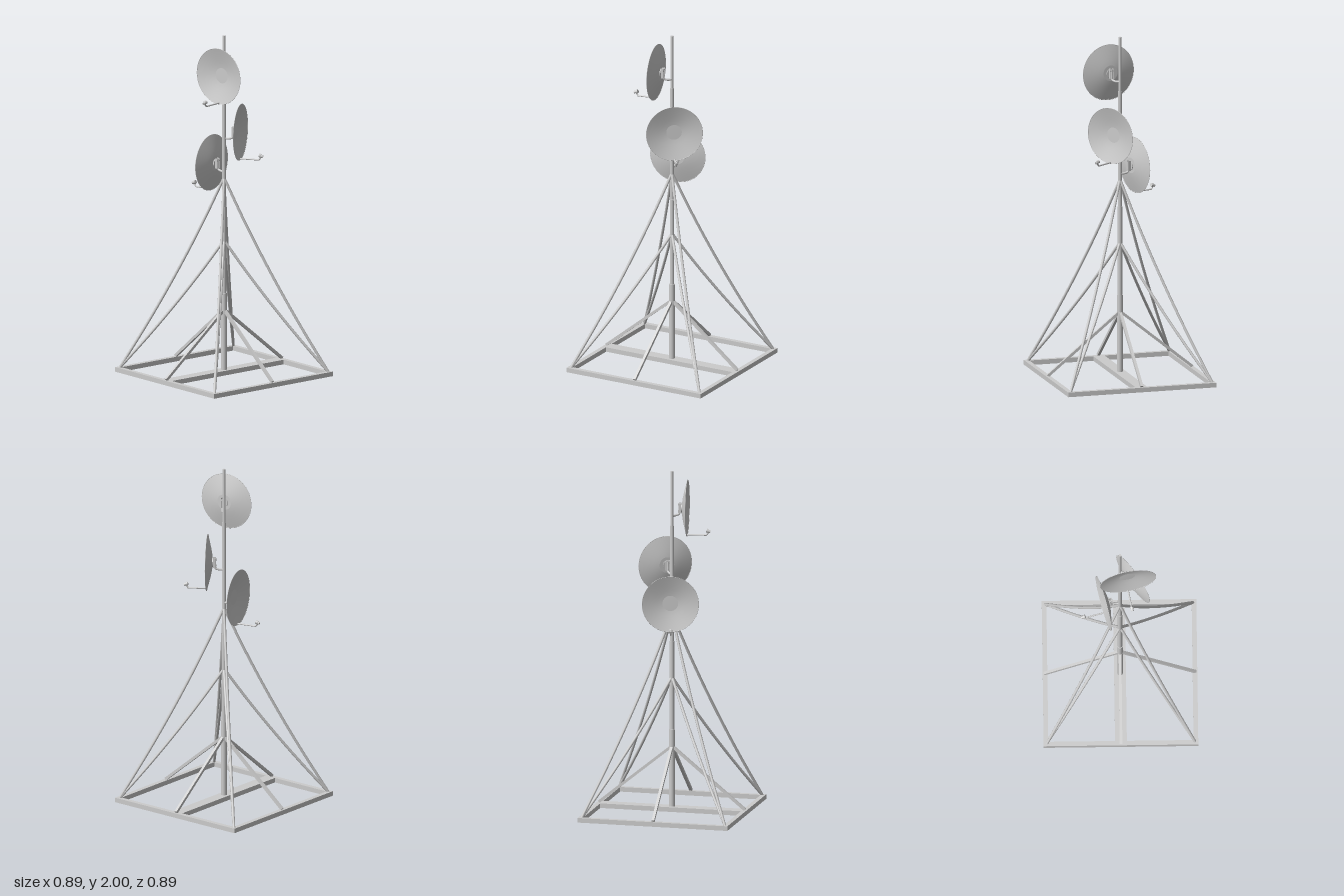
import * as THREE from 'three';

const grey = new THREE.MeshStandardMaterial({ color: 0xcccccc });
const greyThin = new THREE.MeshStandardMaterial({ color: 0xcccccc, side: THREE.DoubleSide });
const V = (x, y, z) => new THREE.Vector3(x, y, z);

function add(parent, name, geometry, material = grey) {
  const mesh = new THREE.Mesh(geometry, material);
  mesh.name = name;
  parent.add(mesh);
  return mesh;
}

function box(parent, name, w, h, d, x, y, z) {
  return add(parent, name, new THREE.BoxGeometry(w, h, d).translate(x, y, z));
}

// Straight round or square bar between two points
function bar(parent, name, a, b, r, sides = 12) {
  let g = new THREE.CylinderGeometry(r, r, a.distanceTo(b), sides);
  if (sides === 4) {
    g = g.rotateY(Math.PI / 4).toNonIndexed();
    g.computeVertexNormals();
  }
  const mesh = add(parent, name, g);
  mesh.position.copy(a).add(b).multiplyScalar(0.5);
  mesh.quaternion.setFromUnitVectors(V(0, 1, 0), b.clone().sub(a).normalize());
  return mesh;
}

function pipe(parent, name, points, r) {
  const curve = new THREE.CatmullRomCurve3(points, false, 'centripetal');
  return add(parent, name, new THREE.TubeGeometry(curve, 24, r, 10), greyThin);
}

// Dish facing local +z, with its rim centre at the origin
function makeDish(name, [x, y, z], angle) {
  const dish = new THREE.Group();
  dish.name = name;
  dish.position.set(x, y, z);
  dish.rotation.y = angle;
  const R = 0.163, hub = 0.045, depth = 0.028;

  // Shallow, nearly conical reflector with a flat centre
  const profile = [];
  for (let i = 0; i <= 8; i++) {
    const t = i / 8;
    profile.push(new THREE.Vector2(hub + (R - hub) * t, -depth * (1 - Math.pow(t, 1.2))));
  }
  add(dish, 'reflector', new THREE.LatheGeometry(profile, 56).rotateX(Math.PI / 2), greyThin);
  add(dish, 'reflectorCentre', new THREE.CircleGeometry(hub, 56).translate(0, 0, -depth), greyThin);
  add(dish, 'rim', new THREE.TorusGeometry(R, 0.0015, 6, 56));

  // Feed arm, riser and horn in front of the lower edge
  bar(dish, 'feedArm', V(0, -0.157, -0.002), V(0, -0.157, 0.112), 0.0045);
  bar(dish, 'feedRiser', V(0, -0.157, 0.11), V(0, -0.138, 0.124), 0.0045);
  bar(dish, 'feedHorn', V(0, -0.138, 0.134), V(0, -0.131, 0.114), 0.008, 16);
  bar(dish, 'feedCap', V(0, -0.134, 0.122), V(0, -0.13, 0.111), 0.011, 16);

  // Rear bracket and bent pipe back to the mast
  const mast = V(-x, 0, -z).applyAxisAngle(V(0, 1, 0), -angle);
  add(dish, 'backPlate', new THREE.CylinderGeometry(0.026, 0.026, 0.005, 24)
    .rotateX(Math.PI / 2).translate(0, 0, -depth - 0.0035));
  for (const s of [-1, 1]) box(dish, 'bracketCheek', 0.004, 0.06, 0.016, s * 0.01, 0, -0.042);
  box(dish, 'bracketBolt', 0.028, 0.007, 0.007, 0, 0.016, -0.045);
  pipe(dish, 'mountPipe', [
    V(mast.x, -0.042, mast.z),
    V(mast.x * 0.4, -0.042, mast.z * 0.4 - 0.036),
    V(0, -0.034, -0.048),
    V(0, -0.015, -0.046),
    V(0, 0.026, -0.046)
  ], 0.0065);
  return dish;
}

export function createModel() {
  const model = new THREE.Group();
  model.name = 'antennaMast';

  // Square ground frame with a wide centre beam
  const half = 0.445, w = 0.027, h = 0.027;
  const frame = new THREE.Group();
  frame.name = 'baseFrame';
  model.add(frame);
  for (const s of [-1, 1]) {
    box(frame, 'frameRail', 2 * half, h, w, 0, h / 2, s * (half - w / 2));
    box(frame, 'frameSide', w, h, 2 * (half - w), s * (half - w / 2), h / 2, 0);
  }
  box(frame, 'centreBeam', 2 * (half - w), h, 0.068, 0, h / 2, 0);

  // Stepped mast
  const steps = [[0, 0.48, 0.017], [0.48, 1.0, 0.013], [1.0, 1.68, 0.0105], [1.68, 2.0, 0.008]];
  for (const [y0, y1, r] of steps) bar(model, 'mastSection', V(0, y0, 0), V(0, y1, 0), r, 20);

  // Square braces to the middle of each frame side
  for (const [x, z] of [[1, 0], [-1, 0], [0, 1], [0, -1]]) {
    bar(model, 'sideBrace', V(0, 0.382, 0), V(x * 0.434, 0.03, z * 0.434), 0.0113, 4);
  }

  // Two slightly sagging stays to every corner
  for (const sx of [-1, 1]) for (const sz of [-1, 1]) {
    for (const [top, sag] of [[1.16, 0.018], [0.79, 0.014]]) {
      const points = [];
      for (let i = 0; i <= 4; i++) {
        const t = i / 4, d = 0.426 * t - sag * 4 * t * (1 - t);
        points.push(V(sx * d, top + (0.025 - top) * t, sz * d));
      }
      pipe(model, 'cornerStay', points, 0.008);
    }
  }

  // Dishes
  model.add(makeDish('upperDish', [-0.079, 1.778, 0.046], Math.atan2(-0.985, 0.174)));
  model.add(makeDish('middleDish', [0.06, 1.434, 0.076], Math.atan2(0.575, 0.818)));
  model.add(makeDish('lowerDish', [-0.015, 1.236, -0.094], Math.atan2(-0.266, -0.964)));
  return model;
}
